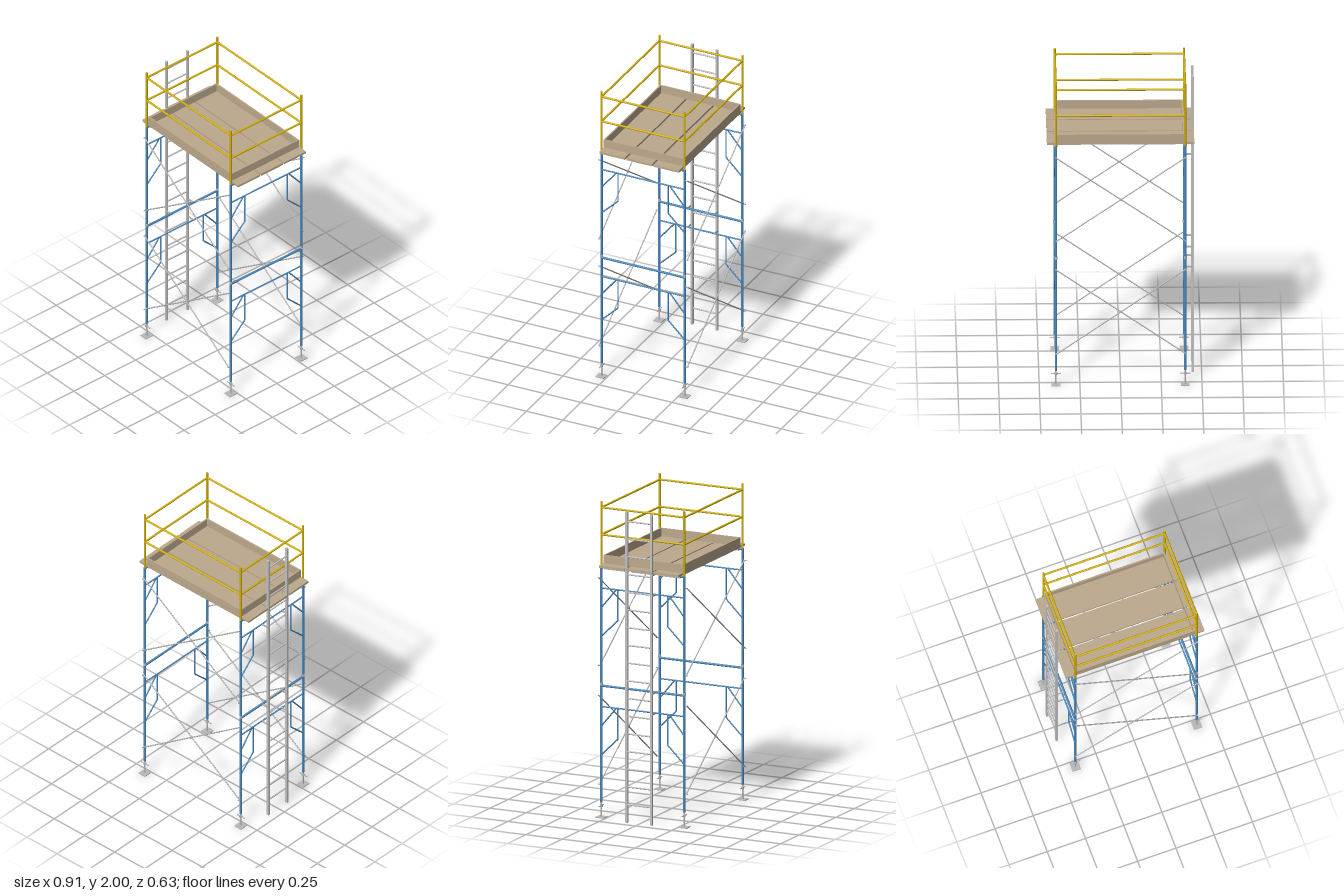
import * as THREE from 'three';

const mat = (name, color) => {
  const m = new THREE.MeshStandardMaterial({ color });
  m.name = name;
  return m;
};

export function createModel() {
  const blue = mat('frame blue', 0x4a88bc);
  const yellow = mat('guard yellow', 0xd0ae08);
  const wood = mat('plank wood', 0xbca98c);
  const steel = mat('galvanised steel', 0xb8b8b8);
  const aluminium = mat('ladder aluminium', 0xc2c2c2);

  const root = new THREE.Group();
  root.name = 'scaffoldTower';
  const PX = 0.397, PZ = 0.285;

  const group = (name, parent = root) => {
    const g = new THREE.Group();
    g.name = name;
    parent.add(g);
    return g;
  };
  // Round bar between two points
  const bar = (parent, name, a, b, r, material, sides = 12) => {
    const p = new THREE.Vector3(...a), q = new THREE.Vector3(...b);
    const d = q.clone().sub(p);
    const m = new THREE.Mesh(new THREE.CylinderGeometry(r, r, d.length(), sides), material);
    m.position.copy(p).add(q).multiplyScalar(0.5);
    m.quaternion.setFromUnitVectors(new THREE.Vector3(0, 1, 0), d.normalize());
    m.name = name;
    parent.add(m);
  };
  const box = (parent, name, size, pos, material) => {
    const m = new THREE.Mesh(new THREE.BoxGeometry(...size), material);
    m.position.set(...pos);
    m.name = name;
    parent.add(m);
  };

  // Corners: jack, blue post, coupling and guard post
  for (const x of [-PX, PX]) for (const z of [-PZ, PZ]) {
    const jack = group('baseJack');
    box(jack, 'basePlate', [0.054, 0.005, 0.056], [x, 0.0025, z + Math.sign(z) * 0.001], steel);
    bar(jack, 'jackScrew', [x, 0, z], [x, 0.11, z], 0.0045, steel);
    bar(jack, 'jackNut', [x, 0.068, z], [x, 0.082, z], 0.01, steel, 6);
    bar(jack, 'jackHandle', [x - 0.032, 0.075, z], [x + 0.032, 0.075, z], 0.0035, steel, 8);
    bar(root, 'post', [x, 0.095, z], [x, 1.59, z], 0.0075, blue);
    bar(root, 'coupling', [x, 0.836, z], [x, 0.854, z], 0.0092, steel);
    bar(root, 'guardPost', [x, 1.59, z], [x, 2, z], 0.0068, yellow);
  }

  // End frames, two storeys high, with bent knee braces
  for (const x of [-PX, PX]) for (const y of [0, 0.75]) {
    const frame = group('endFrame');
    bar(frame, 'headBar', [x, y + 0.834, -PZ], [x, y + 0.834, PZ], 0.0072, blue);
    bar(frame, 'lowerBar', [x, y + 0.702, -PZ], [x, y + 0.702, PZ], 0.0048, blue);
    for (const s of [-1, 1]) {
      bar(frame, 'kneeUpper', [x, y + 0.585, s * 0.28], [x, y + 0.7, s * 0.184], 0.0045, blue, 8);
      bar(frame, 'kneeUpright', [x, y + 0.702, s * 0.172], [x, y + 0.507, s * 0.172], 0.0045, blue, 8);
      bar(frame, 'kneeLower', [x, y + 0.507, s * 0.172], [x, y + 0.4, s * 0.282], 0.0045, blue, 8);
    }
  }

  // Crossed braces with pivot bolts and locking pins
  for (const s of [-1, 1]) for (const [lo, hi] of [[0.21, 0.77], [0.96, 1.515]]) {
    const brace = group('crossBrace');
    const mid = (lo + hi) / 2;
    bar(brace, 'braceInner', [-PX, lo, s * 0.297], [PX, hi, s * 0.297], 0.004, steel, 8);
    bar(brace, 'braceOuter', [-PX, hi, s * 0.303], [PX, lo, s * 0.303], 0.004, steel, 8);
    bar(brace, 'pivotBolt', [0, mid, s * 0.292], [0, mid, s * 0.309], 0.006, steel, 8);
    for (const x of [-PX, PX]) for (const y of [lo, hi])
      bar(brace, 'lockPin', [x, y, s * PZ], [x, y, s * 0.309], 0.0035, steel, 8);
  }

  // Deck planks with hooks over the end bars
  for (const z of [-0.1865, -0.0005, 0.1855]) {
    box(root, 'plank', [0.906, 0.014, 0.175], [0, 1.6, z], wood);
    for (const x of [-PX, PX])
      box(root, 'plankHook', [0.024, 0.018, 0.15], [x, 1.584, z], steel);
  }

  // Toe boards and guard rails
  for (const s of [-1, 1]) {
    box(root, 'longToeBoard', [0.78, 0.054, 0.009], [0, 1.633, s * 0.27], wood);
    box(root, 'endToeBoard', [0.009, 0.054, 0.531], [s * 0.3855, 1.633, 0], wood);
    for (const y of [1.79, 1.962]) {
      bar(root, 'longGuardRail', [-PX, y, s * PZ], [PX, y, s * PZ], 0.0065, yellow);
      bar(root, 'endGuardRail', [s * PX, y, -PZ], [s * PX, y, PZ], 0.0065, yellow);
    }
  }

  // Ladder with rungs and frame brackets
  const ladder = group('ladder');
  const LX = -0.445;
  for (const z of [-0.086, 0.084]) {
    box(ladder, 'ladderRail', [0.015, 1.965, 0.015], [LX, 0.9825, z], aluminium);
    for (const y of [0.702, 0.834, 1.452, 1.584])
      box(ladder, 'ladderBracket', [0.052, 0.01, 0.006], [-0.418, y, z * 1.07], steel);
  }
  for (let i = 0; i < 17; i++) {
    const y = 0.114 + i * 0.112;
    bar(ladder, 'rung', [LX, y, -0.086], [LX, y, 0.084], 0.005, aluminium, 10);
  }

  return root;
}
